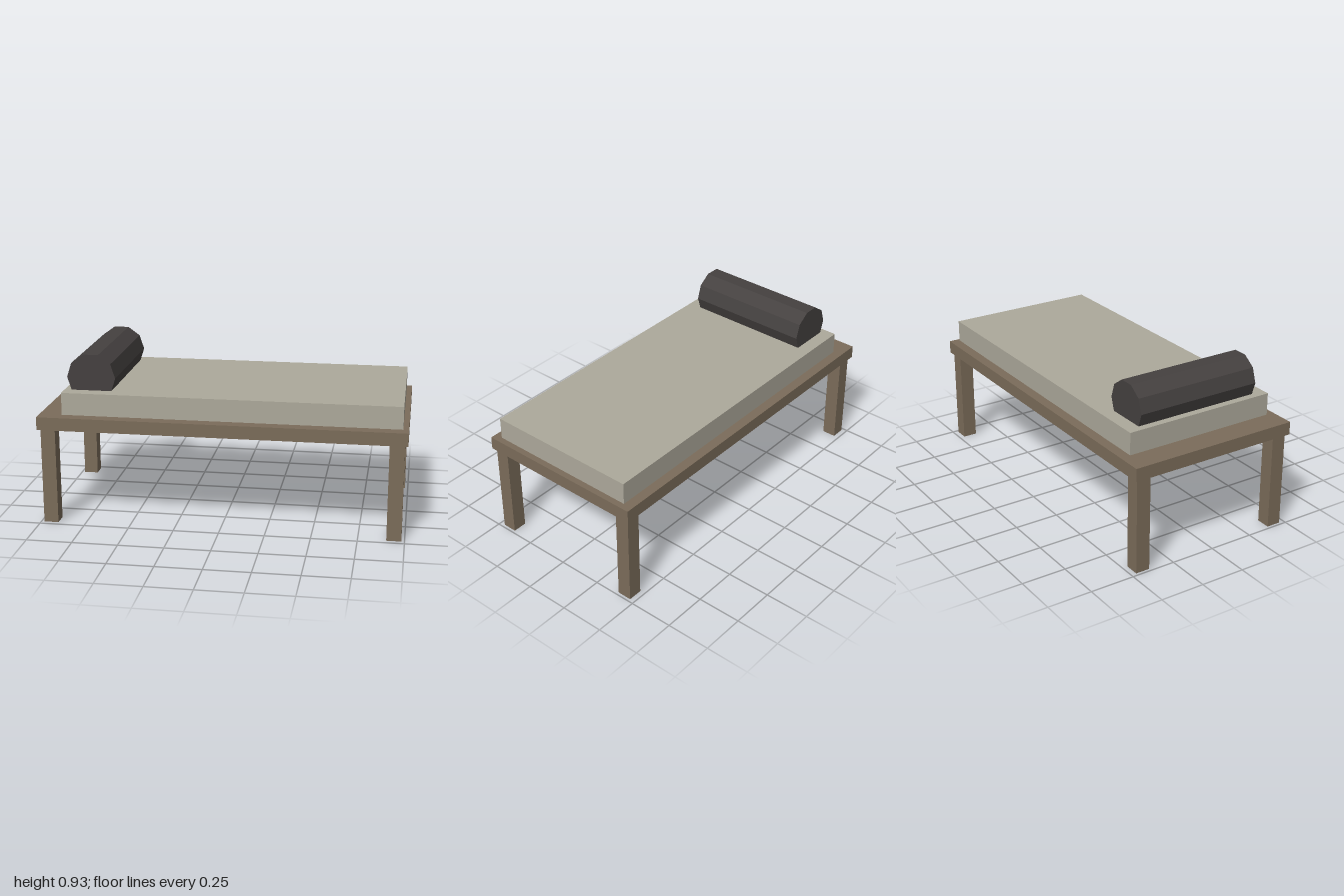
import * as THREE from 'three';

const material = (name, color, flatShading = false) => {
  const m = new THREE.MeshStandardMaterial({ color, flatShading });
  m.name = name;
  return m;
};

export function createModel() {
  const group = new THREE.Group();
  group.name = 'dayBed';
  const wood = material('brown wood', 0x7b6c5a);
  const fabric = material('pale grey fabric', 0xada99b);
  const dark = material('charcoal fabric', 0x454140, true);

  const add = (name, geometry, mat, x, y, z) => {
    const mesh = new THREE.Mesh(geometry, mat);
    mesh.name = name;
    mesh.position.set(x, y, z);
    group.add(mesh);
  };

  // Platform
  add('platform', new THREE.BoxGeometry(2, 0.072, 0.974), wood, 0, 0.571, 0);

  // Four square legs, set in slightly from the platform edge
  const legGeometry = new THREE.BoxGeometry(0.08, 0.535, 0.08);
  for (const sx of [-1, 1]) {
    for (const sz of [-1, 1]) {
      const name = (sz > 0 ? 'front' : 'back') + (sx > 0 ? 'Left' : 'Right') + 'Leg';
      add(name, legGeometry, wood, sx * 0.943, 0.2675, sz * 0.43);
    }
  }

  // Mattress, shifted towards the foot, resting a hair above the platform
  add('mattress', new THREE.BoxGeometry(1.84, 0.123, 0.872), fabric, 0.05, 0.6735, 0);

  // Ten-sided bolster, flat side up, sunk into the mattress
  const bolster = new THREE.CylinderGeometry(0.134, 0.134, 0.72, 10, 1, false, Math.PI / 10);
  bolster.rotateX(Math.PI / 2);
  add('bolster', bolster, dark, -0.72, 0.806, 0);

  return group;
}
